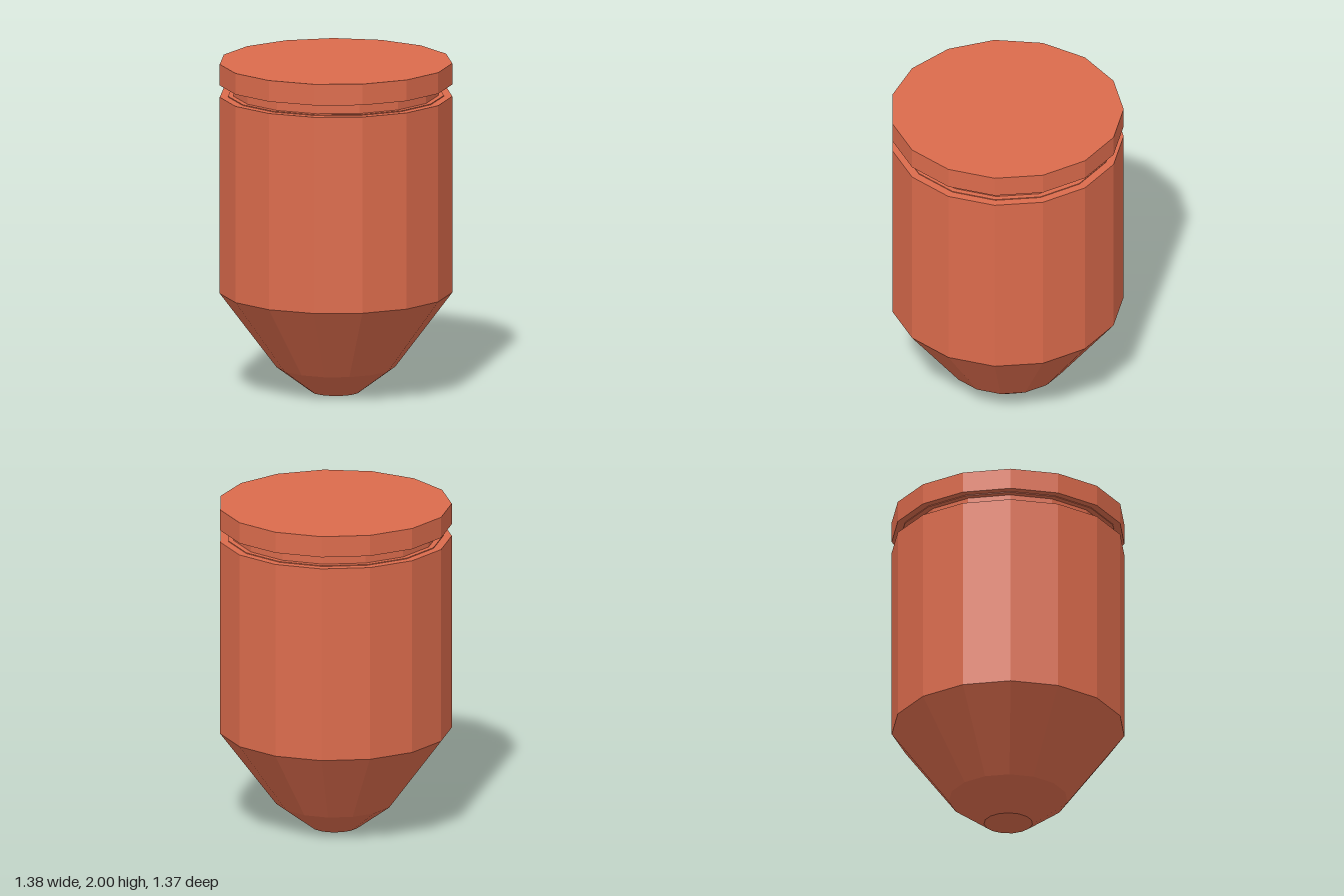
import * as THREE from 'three';

const SIDES = 15;

export function createModel() {
  const model = new THREE.Group();
  model.name = 'taperedCanister';
  const material = new THREE.MeshStandardMaterial({ color: 0xdb6b4c, flatShading: true });

  // Turn a [radius, height] profile, listed bottom to top, with a corner at the back
  const addTurned = (name, profile) => {
    const points = profile.map(([r, y]) => new THREE.Vector2(r, y));
    const mesh = new THREE.Mesh(new THREE.LatheGeometry(points, SIDES, Math.PI), material);
    mesh.name = name;
    mesh.position.z = 0.0075; // centres the odd-sided outline
    model.add(mesh);
  };

  // Blunt tip and tapered lower cone
  addTurned('taperedBase', [[0, 0], [0.145, 0], [0.355, 0.155], [0.695, 0.61]]);

  // Straight faceted body with its top ledge
  addTurned('body', [[0.695, 0.61], [0.695, 1.8], [0.645, 1.8]]);

  // Recessed groove with a thin step at each end
  addTurned('grooveNeck', [
    [0.645, 1.8], [0.645, 1.805], [0.613, 1.805],
    [0.613, 1.867], [0.65, 1.867], [0.65, 1.872],
  ]);

  // Flat lid
  addTurned('lid', [[0.65, 1.872], [0.695, 1.872], [0.695, 2], [0, 2]]);

  return model;
}
